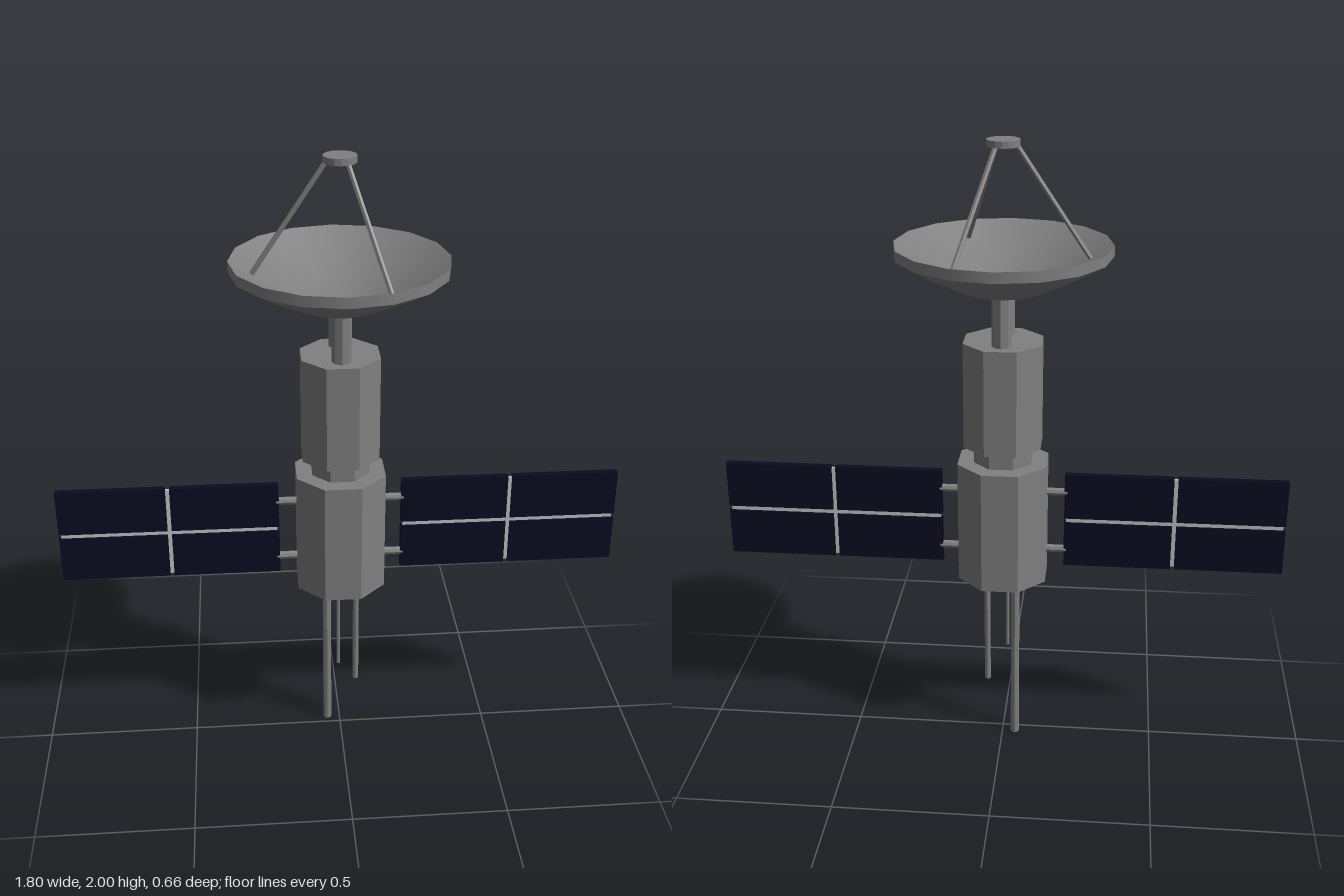
import * as THREE from 'three';

const metal = new THREE.MeshStandardMaterial({ color: 0x808080 });
metal.name = 'grey metal';
metal.flatShading = true;
const dishMetal = new THREE.MeshStandardMaterial({ color: 0x808080, side: THREE.DoubleSide });
dishMetal.name = 'dish grey';
const cell = new THREE.MeshStandardMaterial({ color: 0x0b0b22 });
cell.name = 'solar navy';
const frameLight = new THREE.MeshStandardMaterial({ color: 0xc4c4c4 });
frameLight.name = 'light frame';

export function createModel() {
  const model = new THREE.Group();
  model.name = 'satellite';

  const add = (name, geometry, material, parent = model) => {
    const mesh = new THREE.Mesh(geometry, material);
    mesh.name = name;
    parent.add(mesh);
    return mesh;
  };

  // Octagonal drum with a flat side facing the front
  const drum = (name, apothem, y0, y1) => {
    const r = apothem / Math.cos(Math.PI / 8);
    const g = new THREE.CylinderGeometry(r, r, y1 - y0, 8, 1, false, Math.PI / 8);
    add(name, g, metal).position.y = (y0 + y1) / 2;
  };

  // Round bar between two points
  const bar = (name, a, b, r, sides = 8, parent = model) => {
    const from = new THREE.Vector3(...a), to = new THREE.Vector3(...b);
    const dir = to.clone().sub(from);
    const mesh = add(name, new THREE.CylinderGeometry(r, r, dir.length(), sides), metal, parent);
    mesh.position.copy(from).add(to).multiplyScalar(0.5);
    mesh.quaternion.setFromUnitVectors(new THREE.Vector3(0, 1, 0), dir.normalize());
  };

  // Body
  drum('lowerBody', 0.14, 0.597, 1.0);
  drum('neck', 0.09, 0.99, 1.065);
  drum('upperBody', 0.12, 1.055, 1.395);

  // Posts holding the dish
  for (const z of [0.063, -0.063]) bar('dishPost', [0, 1.38, z], [0, 1.56, z], 0.03);

  // Dish: outer bowl, rim band and inner bowl
  const bowl = [[0, 1.535], [0.06, 1.538], [0.13, 1.557], [0.21, 1.596], [0.27, 1.627], [0.33, 1.662]];
  const lathe = (name, pts) =>
    add(name, new THREE.LatheGeometry(pts.map(([x, y]) => new THREE.Vector2(x, y)), 16), dishMetal, dish);
  const dish = new THREE.Group();
  dish.name = 'dish';
  model.add(dish);
  lathe('dishOuter', bowl);
  lathe('dishRim', [[0.33, 1.662], [0.33, 1.695]]);
  lathe('dishInner', bowl.map(([x, y]) => [x, y + 0.033]).reverse());

  // Feed tripod and cap above the dish
  for (let i = 0; i < 3; i++) {
    const a = Math.PI + (i * Math.PI * 2) / 3;
    const c = Math.cos(a), s = Math.sin(a);
    bar('feedStrut', [c * 0.26, 1.655, s * 0.26], [c * 0.035, 1.99, s * 0.035], 0.008, 6);
  }
  add('feedCap', new THREE.CylinderGeometry(0.05, 0.05, 0.02, 16), metal).position.y = 1.99;

  // Solar wings: four panels, a thin cross frame and two arms each
  for (const side of [1, -1]) {
    const wing = new THREE.Group();
    wing.name = side > 0 ? 'leftWing' : 'rightWing';
    model.add(wing);
    for (const x of [0.369, 0.727]) {
      for (const y of [0.712, 0.879]) {
        add('solarPanel', new THREE.BoxGeometry(0.345, 0.152, 0.022), cell, wing)
          .position.set(side * x, y, 0);
      }
    }
    add('frameBeam', new THREE.BoxGeometry(0.69, 0.02, 0.01), frameLight, wing)
      .position.set(side * 0.548, 0.7955, 0);
    add('framePost', new THREE.BoxGeometry(0.018, 0.306, 0.01), frameLight, wing)
      .position.set(side * 0.548, 0.7955, 0);
    for (const y of [0.69, 0.892]) bar('wingArm', [side * 0.12, y, 0], [side * 0.205, y, 0], 0.013, 8, wing);
  }

  // Antennas under the body
  bar('longAntenna', [-0.042, 0, -0.032], [-0.042, 0.61, -0.032], 0.014);
  bar('middleAntenna', [0.053, 0.187, 0], [0.053, 0.61, 0], 0.01);
  bar('shortAntenna', [-0.01, 0.29, 0.053], [-0.01, 0.61, 0.053], 0.006);

  return model;
}
